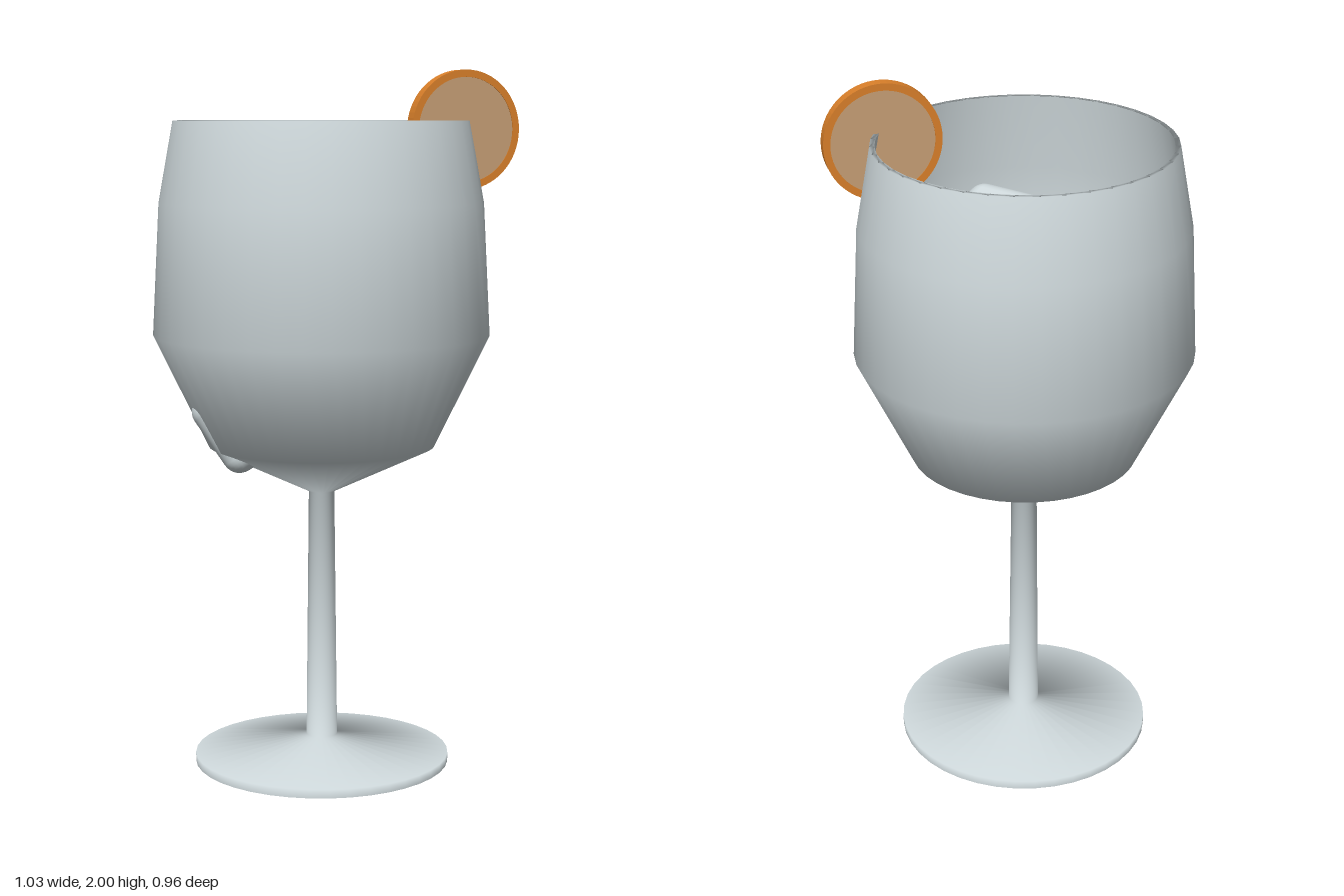
import * as THREE from 'three';
import { RoundedBoxGeometry } from 'three/addons/geometries/RoundedBoxGeometry.js';

const AXIS_X = -0.04;
const material = (name, color) => {
  const m = new THREE.MeshStandardMaterial({ color });
  m.name = name;
  return m;
};

function addMesh(parent, name, geometry, mat, x = 0, y = 0, z = 0) {
  const mesh = new THREE.Mesh(geometry, mat);
  mesh.name = name;
  mesh.position.set(x, y, z);
  parent.add(mesh);
  return mesh;
}

export function createModel() {
  const group = new THREE.Group();
  group.name = 'drinkGlass';
  const glass = material('paleGlass', 0xd0dadd);
  const peel = material('orangePeel', 0xda802a);
  const flesh = material('orangeFlesh', 0xc8a076);

  // Foot, stem, outer bowl, rim and inner bowl as one smooth profile
  const profile = [
    [0.37, 0], [0.37, 0.025], [0.045, 0.075], [0.037, 0.8],
    [0.325, 0.935], [0.48, 1.255], [0.46, 1.63], [0.418, 1.86],
    [0.404, 1.86], [0.447, 1.63], [0.467, 1.255], [0.312, 0.945], [0, 0.815],
  ].map(([r, y]) => new THREE.Vector2(r, y));
  addMesh(group, 'glass', new THREE.LatheGeometry(profile, 40), glass, AXIS_X);

  // Flat underside of the foot
  addMesh(group, 'footUnderside', new THREE.CircleGeometry(0.37, 40), glass, AXIS_X)
    .rotation.x = Math.PI / 2;

  // Surface of the drink
  addMesh(group, 'drinkSurface', new THREE.CircleGeometry(0.455, 40), glass, AXIS_X, 1.53)
    .rotation.x = -Math.PI / 2;

  // Ice: one cube floating at the top, one resting in the bottom
  const iceGeometry = new RoundedBoxGeometry(0.27, 0.25, 0.2, 4, 0.05);
  addMesh(group, 'floatingIce', iceGeometry, glass, 0.035, 1.545, 0.075)
    .rotation.set(-0.3, -0.38, 0, 'YXZ');
  addMesh(group, 'sunkenIce', iceGeometry, glass, -0.23, 1.035, 0.1)
    .rotation.z = 0.6;

  // Citrus slice pushed over the rim
  const slice = new THREE.Group();
  slice.name = 'citrusSlice';
  slice.position.set(0.36, 1.834, 0);
  slice.rotation.y = 0.49;
  group.add(slice);

  const ring = new THREE.Shape().absarc(0, 0, 0.166, 0, Math.PI * 2, false);
  ring.holes.push(new THREE.Path().absarc(0, 0, 0.146, 0, Math.PI * 2, true));
  const ringGeometry = new THREE.ExtrudeGeometry(ring, {
    depth: 0.036, bevelEnabled: false, curveSegments: 32,
  });
  ringGeometry.translate(0, 0, -0.018);
  addMesh(slice, 'peel', ringGeometry, peel);

  const fleshGeometry = new THREE.CylinderGeometry(0.147, 0.147, 0.032, 32);
  fleshGeometry.rotateX(Math.PI / 2);
  addMesh(slice, 'flesh', fleshGeometry, flesh);

  return group;
}
